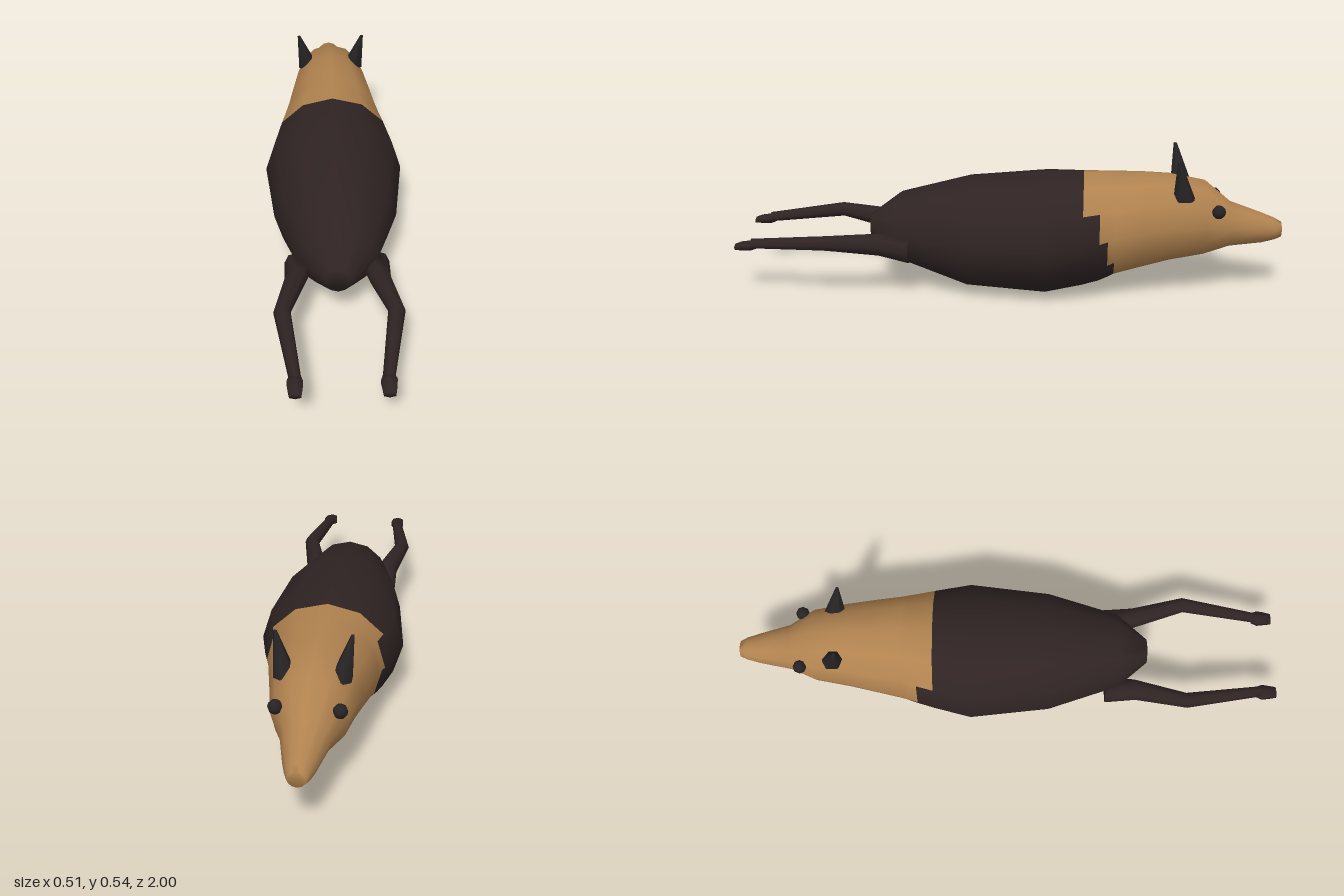
import * as THREE from 'three';

const mat = (name, color) => {
  const m = new THREE.MeshStandardMaterial({ color });
  m.name = name;
  return m;
};

// Loft through elliptical rings [z, x, y, rx, ry], listed from high z to low z.
// Faces are sorted into pieces by pick(column, z), sharing smooth normals.
function loft(rings, sides, pick = () => 0) {
  const pos = [], pieces = [[], []];
  for (const [z, x, y, rx, ry] of rings)
    for (let i = 0; i < sides; i++) {
      const a = (i / sides) * Math.PI * 2;
      pos.push(x + rx * Math.sin(a), y + ry * Math.cos(a), z);
    }
  for (let r = 0; r < rings.length - 1; r++)
    for (let i = 0; i < sides; i++) {
      const a = r * sides + i, b = r * sides + (i + 1) % sides;
      const z = (rings[r][0] + rings[r + 1][0]) / 2;
      pieces[pick(i, z)].push(a, b, a + sides, b, b + sides, a + sides);
    }
  // flat end caps
  const last = (rings.length - 1) * sides;
  const [firstPiece, lastPiece] = [pieces[pick(0, rings[0][0])], pieces[pick(0, rings[rings.length - 1][0])]];
  for (let i = 1; i < sides - 1; i++) {
    firstPiece.push(0, i + 1, i);
    lastPiece.push(last, last + i, last + i + 1);
  }
  const whole = new THREE.BufferGeometry();
  whole.setAttribute('position', new THREE.Float32BufferAttribute(pos, 3));
  whole.setIndex(pieces.flat());
  whole.computeVertexNormals();
  return pieces.filter(p => p.length).map(p => {
    const g = whole.clone();
    g.setIndex(p);
    return g;
  });
}

export function createModel() {
  const model = new THREE.Group();
  const darkFur = mat('dark fur', 0x2f2323);
  const tanFur = mat('tan fur', 0xb0824f);
  const black = mat('black', 0x272325);
  const add = (name, geometry, material) => {
    const mesh = new THREE.Mesh(geometry, material);
    mesh.name = name;
    model.add(mesh);
    return mesh;
  };

  // Torso and head: one smooth loft, [z, half width, top, bottom]
  const profile = [
    [0.515, 0.045, 0.28, 0.185], [0.405, 0.14, 0.365, 0.11], [0.15, 0.222, 0.432, 0.02],
    [-0.14, 0.257, 0.457, 0.003], [-0.275, 0.225, 0.459, 0.03], [-0.335, 0.208, 0.461, 0.046],
    [-0.365, 0.2, 0.462, 0.06], [-0.39, 0.193, 0.462, 0.073], [-0.49, 0.173, 0.463, 0.102],
    [-0.59, 0.153, 0.46, 0.13], [-0.715, 0.13, 0.437, 0.155], [-0.81, 0.083, 0.358, 0.188],
    [-0.93, 0.055, 0.315, 0.203], [-0.975, 0.042, 0.297, 0.215], [-1, 0.03, 0.282, 0.226],
  ];
  // stepped fur edge for each column, from the back down to the belly
  const furEdge = [-0.275, -0.275, -0.335, -0.365, -0.39, -0.39];
  const [torso, head] = loft(
    profile.map(([z, w, t, b]) => [z, 0, (t + b) / 2, w, (t - b) / 2]), 12,
    (col, z) => (z < furEdge[Math.min(col, 11 - col)] ? 1 : 0));
  add('torso', torso, darkFur);
  add('head', head, tanFur);

  for (const [side, s] of [['left', 1], ['right', -1]]) {
    // Leg, bent at the knee, and foot
    const [leg] = loft([
      [0.94, s * 0.147, 0.203, 0.02, 0.019], [0.66, s * 0.19, 0.227, 0.029, 0.028],
      [0.47, s * 0.143, 0.209, 0.04, 0.043], [0.36, s * 0.135, 0.185, 0.05, 0.048],
    ], 8);
    add(side + 'Leg', leg, darkFur);
    const [foot] = loft([
      [1, s * 0.147, 0.19, 0.022, 0.011], [0.975, s * 0.148, 0.193, 0.026, 0.018],
      [0.947, s * 0.148, 0.195, 0.03, 0.02], [0.925, s * 0.148, 0.199, 0.021, 0.016],
    ], 6);
    add(side + 'Foot', foot, darkFur);

    // Pointed ear, leaning outward and slightly back
    const ear = new THREE.CylinderGeometry(0.006, 0.04, 0.15, 6);
    const p = ear.attributes.position;
    for (let i = 0; i < p.count; i++) {
      const t = (p.getY(i) + 0.075) / 0.15;
      p.setX(i, p.getX(i) + s * 0.033 * t);
      p.setZ(i, p.getZ(i) + 0.026 * t);
    }
    ear.computeVertexNormals();
    add(side + 'Ear', ear, black).position.set(s * 0.092, 0.465, -0.636);

    // Eye
    add(side + 'Eye', new THREE.SphereGeometry(0.025, 8, 6), black)
      .position.set(s * 0.104, 0.35, -0.76);
  }
  return model;
}
